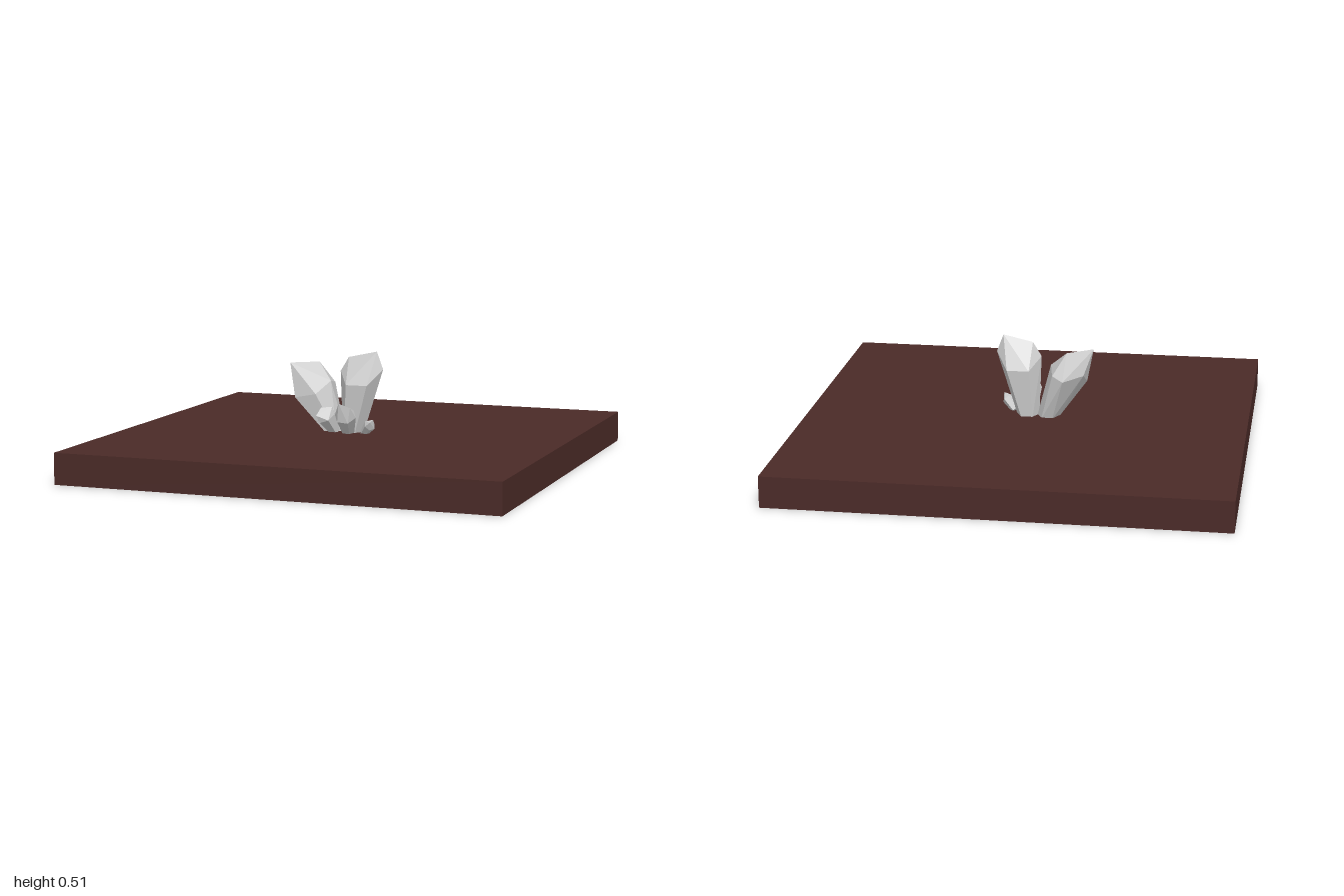
import * as THREE from 'three';
import { ConvexGeometry } from 'three/addons/geometries/ConvexGeometry.js';

const GROUND = 0.14;
const crystalMaterial = new THREE.MeshStandardMaterial({ color: 0xcccccc, flatShading: true });

// Six-sided ring in the plane at right angles to an axis
function hexRing(center, axis, radius) {
  const turn = new THREE.Quaternion().setFromUnitVectors(new THREE.Vector3(0, 1, 0), axis);
  return Array.from({ length: 6 }, (_, i) => {
    const a = (i * Math.PI) / 3;
    return new THREE.Vector3(Math.cos(a) * radius, 0, Math.sin(a) * radius).applyQuaternion(turn).add(center);
  });
}

// Large crystal: flat root ring, uneven shoulder and a short ridge on top
function largeCrystal(name, [x, z], [rx, rz], upper) {
  const points = upper.map((p) => new THREE.Vector3(...p));
  for (let i = 0; i < 6; i++) {
    const a = (i * Math.PI) / 3;
    points.push(new THREE.Vector3(x + Math.cos(a) * rx, GROUND - 0.01, z + Math.sin(a) * rz));
  }
  return named(name, points);
}

// Small crystal: widens from its root to the shoulder, then closes at a ridge
function smallCrystal(name, root, shoulder, ridge, rootRadius, radius) {
  const a = new THREE.Vector3(...root);
  const b = new THREE.Vector3(...shoulder);
  const axis = b.clone().sub(a).normalize();
  const tips = ridge.map((p) => new THREE.Vector3(...p));
  return named(name, [...hexRing(a, axis, rootRadius), ...hexRing(b, axis, radius), ...tips]);
}

function named(name, points) {
  const mesh = new THREE.Mesh(new ConvexGeometry(points), crystalMaterial);
  mesh.name = name;
  return mesh;
}

export function createModel() {
  const model = new THREE.Group();
  model.name = 'crystalCluster';

  // Ground slab
  const slab = new THREE.Mesh(
    new THREE.BoxGeometry(2, GROUND, 2),
    new THREE.MeshStandardMaterial({ color: 0x4a2a27 })
  );
  slab.name = 'groundSlab';
  slab.position.y = GROUND / 2;
  model.add(slab);

  // Two tall crystals leaning apart
  model.add(
    largeCrystal('tallCrystalLeft', [0, 0], [0.05, 0.058], [
      [-0.06, 0.415, 0], [0.145, 0.43, 0],
      [-0.01, 0.36, 0.07], [0.09, 0.36, 0.07],
      [-0.01, 0.36, -0.07], [0.09, 0.36, -0.07],
      [-0.02, 0.48, 0], [0.115, 0.51, 0],
    ]),
    largeCrystal('tallCrystalRight', [-0.09, -0.005], [0.05, 0.055], [
      [-0.262, 0.29, 0.055], [-0.16, 0.31, 0.06], [-0.1, 0.37, 0.02],
      [-0.12, 0.35, -0.09], [-0.17, 0.33, -0.118], [-0.255, 0.34, -0.035],
      [-0.293, 0.447, 0.035], [-0.18, 0.447, -0.045],
    ])
  );

  // Small crystals fanning out at the front
  model.add(
    smallCrystal('smallCrystalMiddle', [-0.005, 0.14, 0.05], [0.005, 0.225, 0.115],
      [[-0.01, 0.288, 0.163], [0.04, 0.268, 0.15]], 0.028, 0.05),
    smallCrystal('smallCrystalRight', [-0.075, 0.14, 0.035], [-0.102, 0.212, 0.078],
      [[-0.12, 0.255, 0.095], [-0.07, 0.26, 0.085], [-0.135, 0.22, 0.118]], 0.026, 0.044),
    smallCrystal('smallCrystalLeft', [0.065, 0.14, 0.035], [0.105, 0.182, 0.07],
      [[0.125, 0.21, 0.08], [0.118, 0.2, 0.1]], 0.018, 0.027)
  );

  return model;
}
